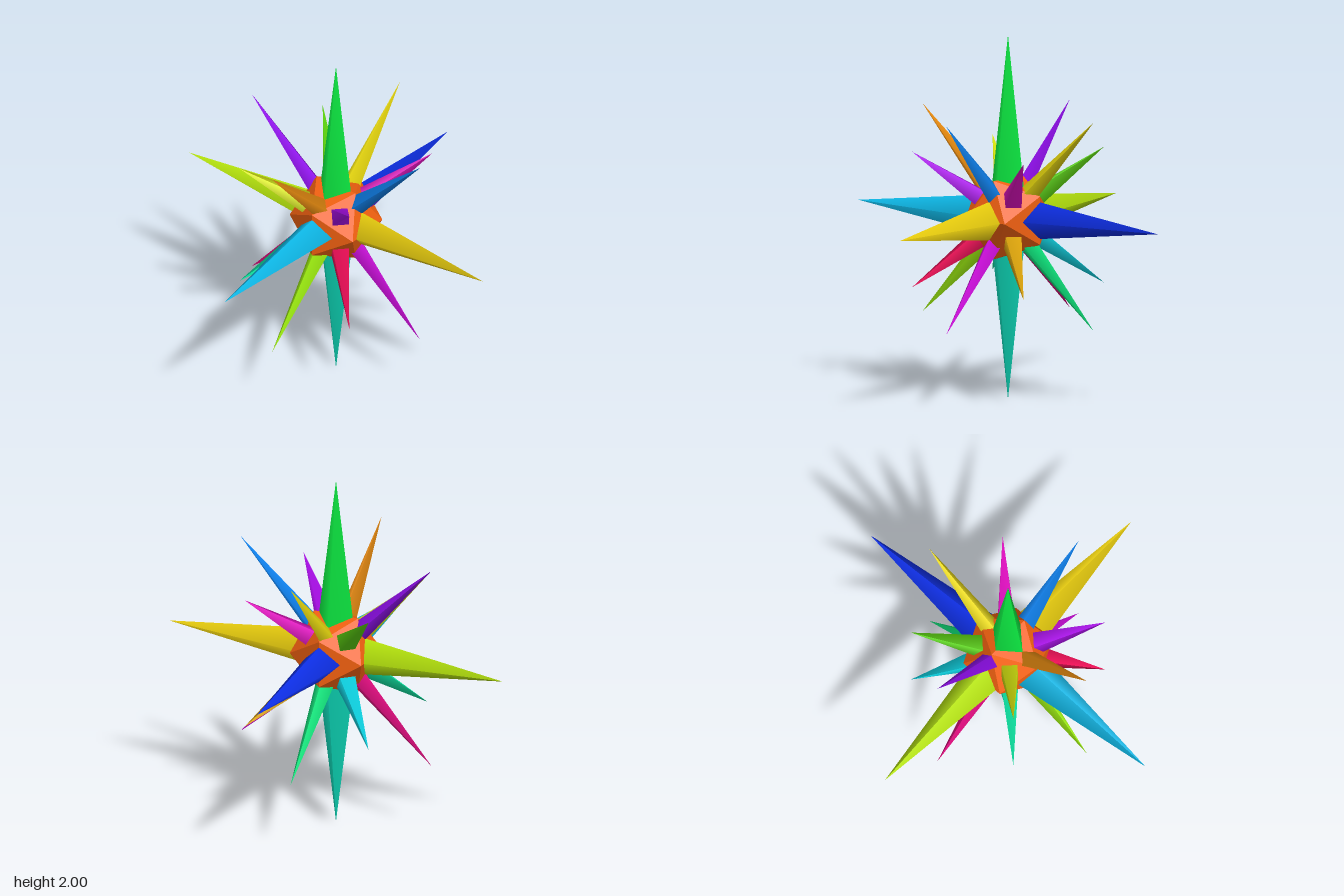
import * as THREE from 'three';

const UP = new THREE.Vector3(0, 1, 0);

// Spike families: base radius, length, then [direction, colour] for each spike
const FAMILIES = [
  {
    name: 'axisSpike', radius: 0.128, length: 1,
    spikes: [
      [[0, 1, 0], 0x0ce640], [[0, -1, 0], 0x0ee6c4],
      [[1, 0, 0], 0xecd00e], [[-1, 0, 0], 0xbcec0e],
      [[0, 0, 1], 0x0ebcec], [[0, 0, -1], 0x0e30ec],
    ],
  },
  {
    name: 'edgeSpike', radius: 0.072, length: 0.81,
    spikes: [
      [[1, 1, 0], 0x0e80ec], [[-1, 1, 0], 0x900eec],
      [[1, -1, 0], 0xd00ee0], [[-1, -1, 0], 0xe80e84],
      [[0, 1, 1], 0xe0860e], [[0, 1, -1], 0xecdc0e],
      [[0, -1, 1], 0x9cec0e], [[0, -1, -1], 0x0eec80],
    ],
  },
  {
    name: 'cornerSpike', radius: 0.09, length: 0.645,
    spikes: [
      [[1, 1, 1], 0xac0eec], [[-1, 1, 1], 0xdcec0e],
      [[1, 1, -1], 0xe00ec0], [[-1, 1, -1], 0x5cd40e],
      [[1, -1, 1], 0xf00e58], [[-1, -1, 1], 0x0eeca8],
      [[1, -1, -1], 0xecb00e], [[-1, -1, -1], 0x0edcec],
    ],
  },
];

export function createModel() {
  const model = new THREE.Group();
  model.name = 'spikedStar';

  // Faceted core
  const core = new THREE.Mesh(
    new THREE.IcosahedronGeometry(0.252, 0),
    new THREE.MeshStandardMaterial({ color: 0xf06010, flatShading: true })
  );
  core.name = 'core';
  core.position.y = 1;
  model.add(core);

  // Four-sided spikes growing out from the centre of the core
  for (const { name, radius, length, spikes } of FAMILIES) {
    const geometry = new THREE.ConeGeometry(radius, length, 4, 1, true);
    geometry.translate(0, length / 2, 0);
    const group = new THREE.Group();
    group.name = name + 's';
    group.position.y = 1;
    for (const [direction, color] of spikes) {
      const spike = new THREE.Mesh(geometry, new THREE.MeshStandardMaterial({ color }));
      spike.name = name;
      spike.quaternion.setFromUnitVectors(UP, new THREE.Vector3(...direction).normalize());
      group.add(spike);
    }
    model.add(group);
  }
  return model;
}
